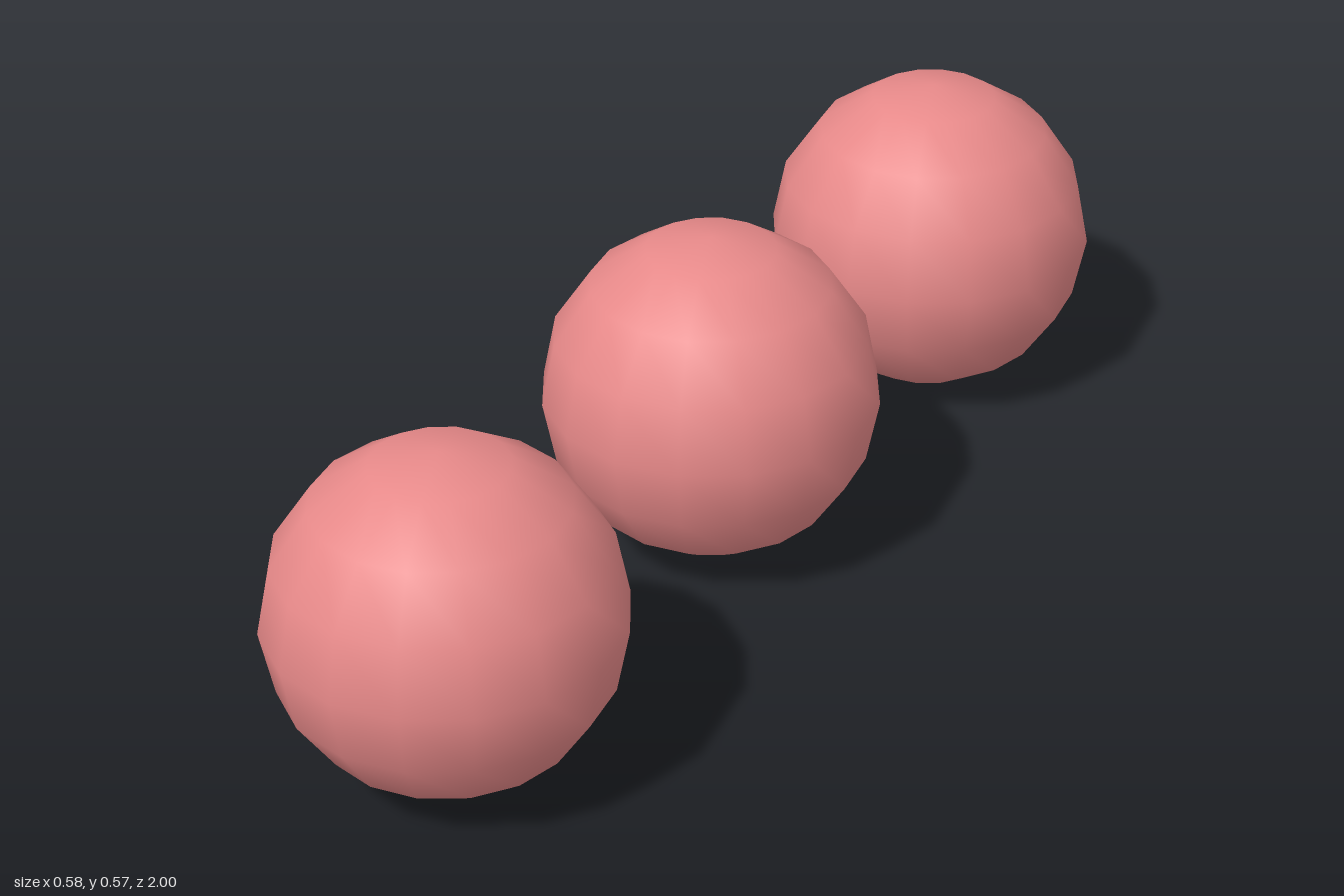
import * as THREE from 'three';

const RADIUS = 0.277;

export function createModel() {
  const model = new THREE.Group();
  model.name = 'ballRow';

  const material = new THREE.MeshStandardMaterial({ color: 0xe78989 });
  const geometry = new THREE.SphereGeometry(RADIUS, 16, 8);

  // Three equal balls in a slightly uneven row along z
  const balls = [
    ['frontBall', 0.014, 0.289, 0.723],
    ['middleBall', -0.014, 0.289, -0.034],
    ['backBall', -0.006, RADIUS, -0.723],
  ];
  for (const [name, x, y, z] of balls) {
    const ball = new THREE.Mesh(geometry, material);
    ball.name = name;
    ball.position.set(x, y, z);
    model.add(ball);
  }
  return model;
}
